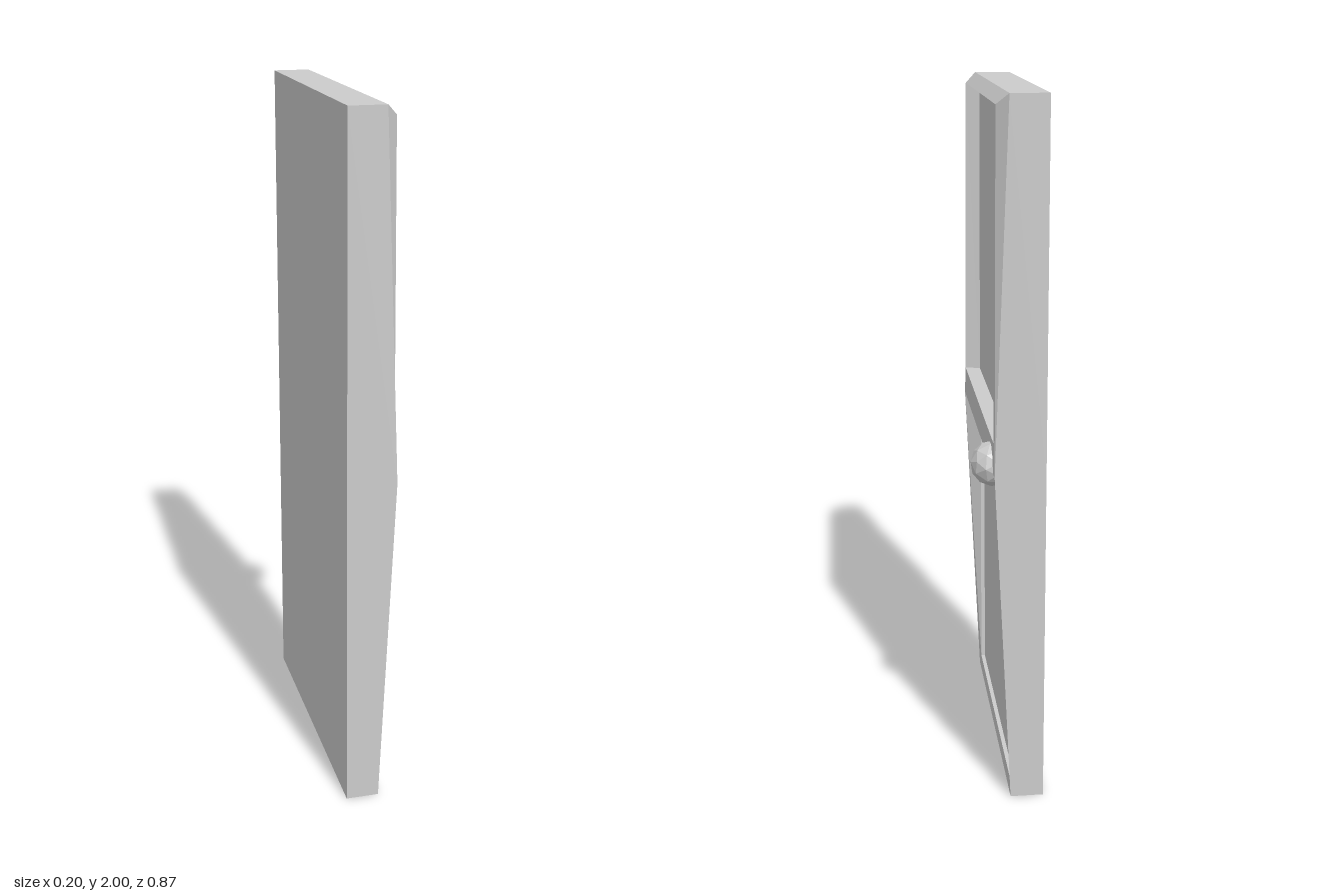
import * as THREE from 'three';

const material = new THREE.MeshStandardMaterial({ color: 0xcccccc, flatShading: true });

// Rectangle facing +x, counter-clockwise from its lower left corner (+z is left)
function rect(xBottom, xTop, yBottom, yTop, zLeft, zRight = -zLeft) {
  return [
    [xBottom, yBottom, zLeft], [xBottom, yBottom, zRight],
    [xTop, yTop, zRight], [xTop, yTop, zLeft],
  ];
}

// Skins successive rectangles from back to front and caps both ends;
// openSide is the side of the slab that meets the other half
function loft(loops, openSide) {
  const positions = [];
  const quad = (a, b, c, d) => positions.push(...a, ...b, ...c, ...a, ...c, ...d);
  for (let k = 0; k < loops.length - 1; k++) {
    for (let i = 0; i < 4; i++) {
      if (k === 0 && i === openSide) continue;
      const j = (i + 1) % 4;
      quad(loops[k][i], loops[k][j], loops[k + 1][j], loops[k + 1][i]);
    }
  }
  quad(...loops[loops.length - 1]);
  quad(...[...loops[0]].reverse());
  const geometry = new THREE.BufferGeometry();
  geometry.setAttribute('position', new THREE.Float32BufferAttribute(positions, 3));
  geometry.computeVertexNormals();
  return geometry;
}

export function createModel() {
  const model = new THREE.Group();
  model.name = 'door';
  const add = (name, geometry) => {
    const mesh = new THREE.Mesh(geometry, material);
    mesh.name = name;
    model.add(mesh);
    return mesh;
  };

  const back = -0.1, middle = 0.98, bulge = 0.042, half = 0.437;

  // Upper half: raised frame around a deep panel
  add('upperDoor', loft([
    rect(back, back, middle, 2, half),
    rect(bulge, 0.005, middle, 2, half),
    rect(0.042, 0.037, 1.07, 1.97, 0.405),
    rect(-0.003, -0.003, 1.07, 1.97, 0.39, -0.405),
  ], 0));

  // Lower half: frame slopes inward to a shallow panel
  add('lowerDoor', loft([
    rect(back, back, 0, middle, half),
    rect(-0.005, bulge, 0, middle, half),
    rect(-0.006, -0.006, 0.045, 0.895, 0.397),
    rect(-0.018, -0.018, 0.045, 0.895, 0.397),
  ], 2));

  // Faceted door knob
  const knob = add('knob', new THREE.IcosahedronGeometry(0.064, 1));
  knob.position.set(0.035, 0.988, -0.33);
  knob.rotation.set(0.3, 0.15, 0.1);

  return model;
}
